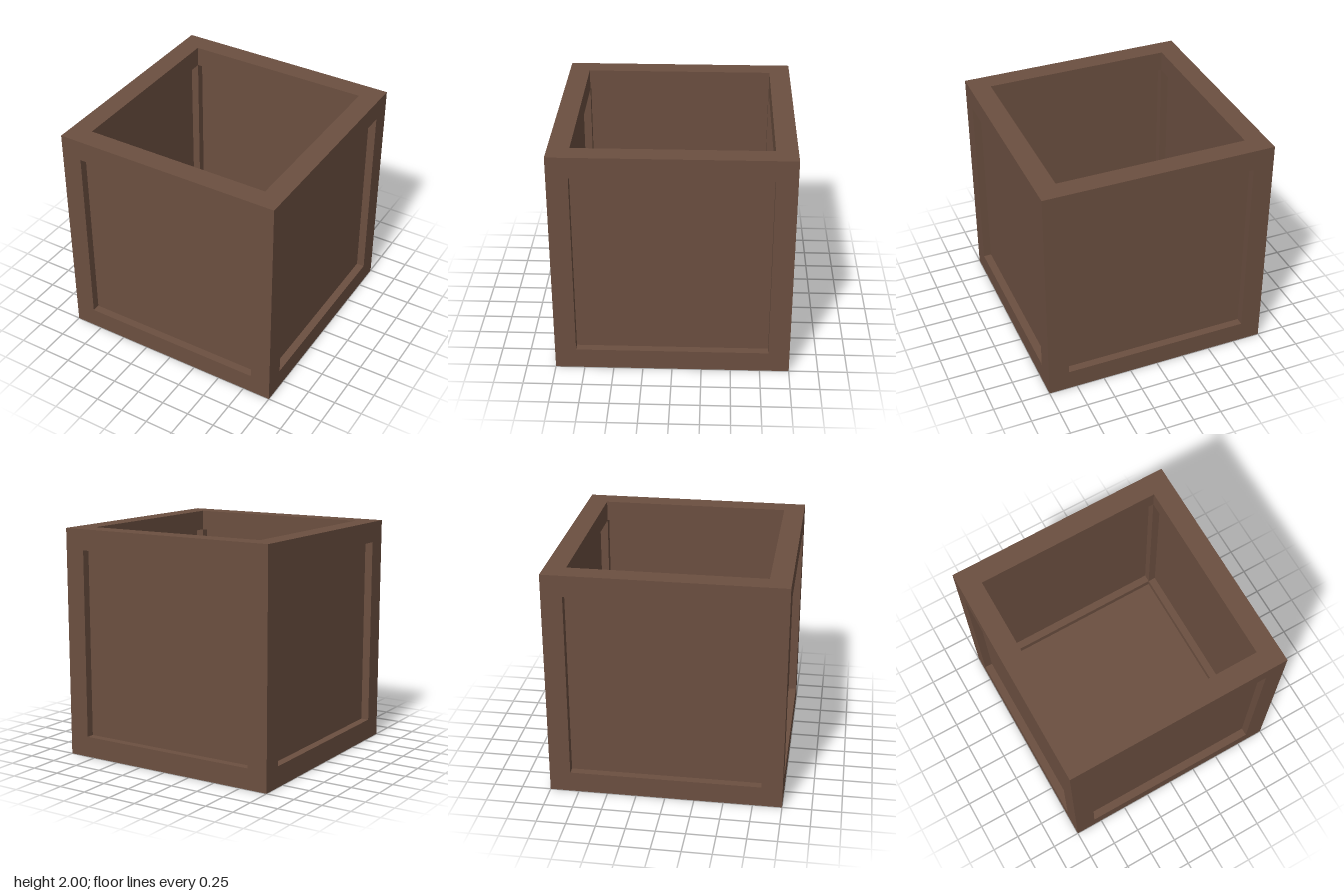
import * as THREE from 'three';

const SIZE = 2;
const BAR = 0.18;                    // square section of the frame bars
const SPAN = SIZE - 2 * BAR;         // clear opening between bars
const OFFSET = (SIZE - BAR) / 2;     // bar centre line
const PANEL = 0.04;                  // panel thickness

export function createModel() {
  const wood = new THREE.MeshStandardMaterial({ color: 0x6b4f40 });
  wood.name = 'brown wood';

  const crate = new THREE.Group();
  crate.name = 'openCrate';

  const addBox = (name, size, position) => {
    const mesh = new THREE.Mesh(new THREE.BoxGeometry(...size), wood);
    mesh.name = name;
    mesh.position.set(...position);
    crate.add(mesh);
  };

  // Frame: four full-height posts with rails fitted between them
  for (const a of [-1, 1]) {
    for (const b of [-1, 1]) {
      const level = b > 0 ? 'top' : 'bottom';
      addBox('cornerPost', [BAR, SIZE, BAR], [a * OFFSET, 1, b * OFFSET]);
      addBox(level + 'RailX', [SPAN, BAR, BAR], [0, 1 + b * OFFSET, a * OFFSET]);
      addBox(level + 'RailZ', [BAR, BAR, SPAN], [a * OFFSET, 1 + b * OFFSET, 0]);
    }
  }

  // Recessed panels on the four sides and the floor; the top stays open
  for (const [side, s] of [['left', 1], ['right', -1]]) {
    addBox(side + 'Panel', [PANEL, SPAN, SPAN], [s * OFFSET, 1, 0]);
  }
  for (const [side, s] of [['front', 1], ['back', -1]]) {
    addBox(side + 'Panel', [SPAN, SPAN, PANEL], [0, 1, s * OFFSET]);
  }
  addBox('floorPanel', [SPAN, PANEL, SPAN], [0, 1 - OFFSET, 0]);

  return crate;
}
